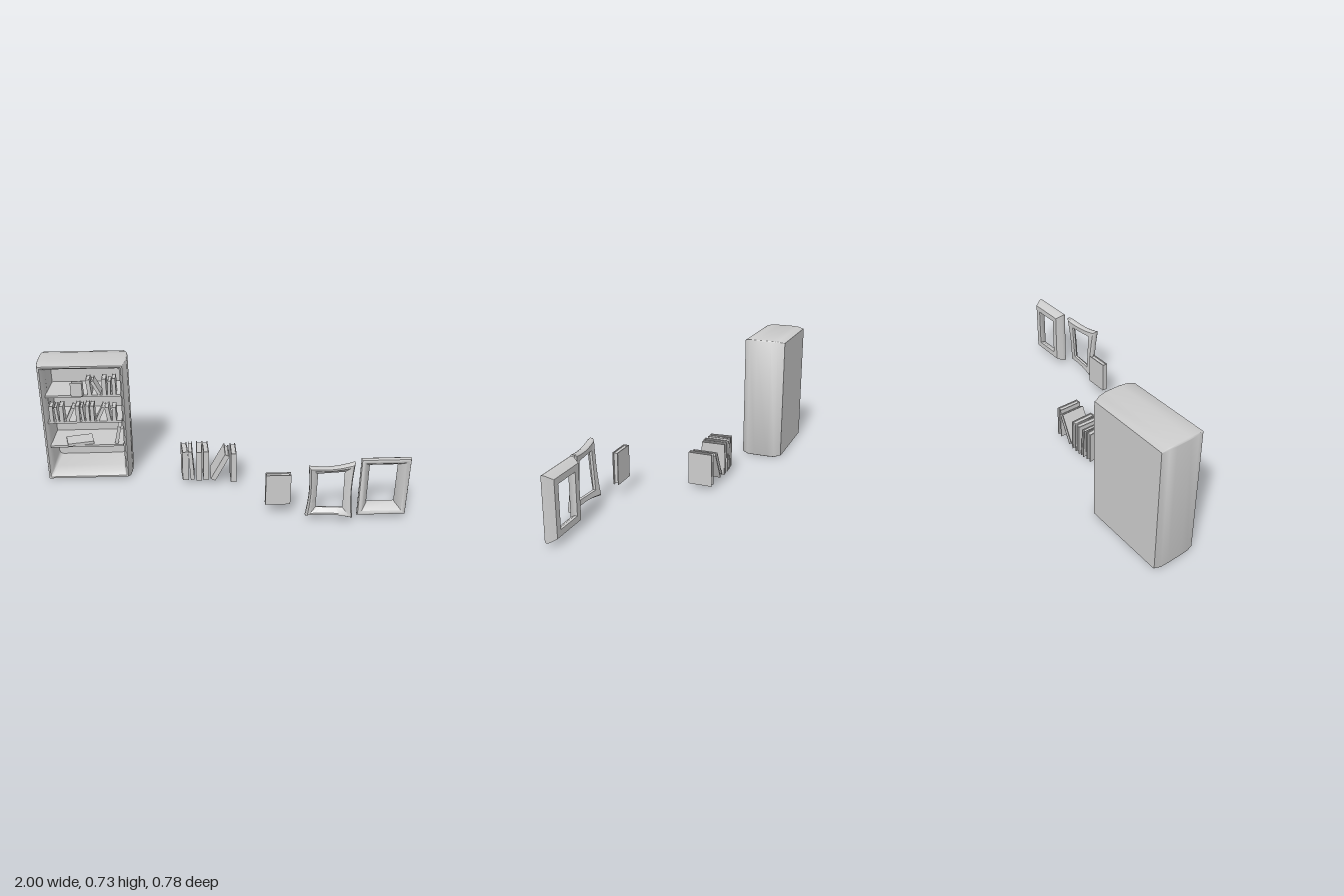
import * as THREE from 'three';
import { toCreasedNormals } from 'three/addons/utils/BufferGeometryUtils.js';

const material = new THREE.MeshStandardMaterial({ color: 0xcccccc });

function addMesh(parent, geometry, name) {
  const mesh = new THREE.Mesh(geometry, material);
  mesh.name = name;
  parent.add(mesh);
  return mesh;
}

function box(parent, name, w, h, d, x, y, z) {
  const mesh = addMesh(parent, new THREE.BoxGeometry(w, h, d), name);
  mesh.position.set(x, y, z);
  return mesh;
}

// Skin a list of equal-length closed rings (counter-clockwise seen from +z).
function loft(rings, closed, crease) {
  const n = rings[0].length;
  const index = [];
  const last = closed ? rings.length : rings.length - 1;
  for (let i = 0; i < last; i++) {
    const k = (i + 1) % rings.length;
    for (let j = 0; j < n; j++) {
      const m = (j + 1) % n;
      const a = i * n + j, b = i * n + m, c = k * n + m, d = k * n + j;
      index.push(a, b, c, a, c, d);
    }
  }
  const geometry = new THREE.BufferGeometry();
  geometry.setAttribute('position', new THREE.Float32BufferAttribute(rings.flat(2), 3));
  geometry.setIndex(index);
  return toCreasedNormals(geometry, crease);
}

function roundedRing([x0, x1, y0, y1, z, r]) {
  const corners = [[x1 - r, y0 + r, -90], [x1 - r, y1 - r, 0], [x0 + r, y1 - r, 90], [x0 + r, y0 + r, 180]];
  const ring = [];
  for (const [cx, cy, start] of corners) {
    for (let i = 0; i <= 4; i++) {
      const a = THREE.MathUtils.degToRad(start + i * 22.5);
      ring.push([cx + r * Math.cos(a), cy + r * Math.sin(a), z]);
    }
  }
  return ring;
}

// Picture frame: profile points are [inset from the outer edge, z].
function frame(parent, name, cx, cy, w, h, profile, pinch, twist) {
  const steps = pinch ? 8 : 1;
  const rings = profile.map(([inset, z]) => {
    const hw = w / 2 - inset, hh = h / 2 - inset;
    const corners = [[hw, -hh], [hw, hh], [-hw, hh], [-hw, -hh]];
    const ring = [];
    corners.forEach(([x, y], i) => {
      const [nx, ny] = corners[(i + 1) % 4];
      for (let s = 0; s < steps; s++) {
        const t = s / steps;
        // Bars narrow towards their middles, mostly on the outer edge.
        const k = 1 - pinch * Math.sin(Math.PI * t) * Math.max(0, 1 - inset / 0.05);
        let px = x + (nx - x) * t, py = y + (ny - y) * t;
        if (i % 2) py *= k; else px *= k;
        ring.push([cx + px, cy + py, z - twist * (px / w) * (py / h) * 4]);
      }
    });
    return ring;
  });
  addMesh(parent, loft(rings, true, 0.75), name);
}

// Book with its spine towards +z, standing on height y.
function book(parent, x, y, z, w, h, d, lean = 0, yaw = 0) {
  const group = new THREE.Group();
  group.name = 'book';
  const t = w * 0.16;
  for (const s of [-1, 1]) box(group, 'cover', t, h, d, s * (w - t) / 2, 0, 0);
  box(group, 'spine', w - 2 * t, h, t, 0, 0, (d - t) / 2);
  box(group, 'pages', w - 2 * t, h * 0.94, d * 0.93 - t, 0, 0, d * 0.035 - t / 2);
  const halfHeight = (h * Math.abs(Math.cos(lean)) + w * Math.abs(Math.sin(lean))) / 2;
  group.position.set(x, y + halfHeight, z);
  group.rotation.set(0, yaw, lean, 'YXZ');
  parent.add(group);
  return group;
}

function bookcase() {
  const group = new THREE.Group();
  group.name = 'bookcase';

  // Hollow cabinet with bulging walls: back, outside, front lip, inside.
  const sections = [
    [-0.76, -0.76, 0.37, 0.37, -0.39, 0],
    [-0.99, -0.525, 0.015, 0.72, -0.39, 0.003],
    [-0.99, -0.525, 0.015, 0.72, -0.383, 0.003],
    [-0.997, -0.511, 0.005, 0.729, -0.352, 0.008],
    [-1.0, -0.503, 0.006, 0.732, -0.31, 0.01],
    [-1.0, -0.503, 0.006, 0.732, -0.23, 0.01],
    [-0.997, -0.511, 0.005, 0.731, -0.182, 0.008],
    [-0.99, -0.525, 0.015, 0.722, -0.15, 0.003],
    [-0.98, -0.533, 0.025, 0.712, -0.15, 0.005],
    [-0.968, -0.543, 0.045, 0.698, -0.175, 0.012],
    [-0.962, -0.548, 0.055, 0.692, -0.23, 0.02],
    [-0.955, -0.555, 0.06, 0.688, -0.37, 0.025],
    [-0.76, -0.76, 0.37, 0.37, -0.37, 0],
  ];
  addMesh(group, loft(sections.map(roundedRing), false, 0.7), 'cabinet');

  for (const y of [0.215, 0.37, 0.533]) box(group, 'shelf', 0.42, 0.012, 0.2, -0.755, y, -0.272);

  // Top shelf: one book facing out, then an uneven row.
  const top = 0.539;
  const facing = book(group, -0.785, top, -0.172, 0.03, 0.08, 0.066, 0, Math.PI / 2 - 0.15);
  facing.name = 'facingBook';
  const topRow = [
    [-0.719, 0.022, 0.095, 0.08], [-0.68, 0.018, 0.09, 0.45],
    [-0.633, 0.024, 0.098, 0], [-0.605, 0.018, 0.085, -0.06], [-0.578, 0.02, 0.1, 0],
  ];
  for (const [x, w, h, lean] of topRow) book(group, x, top, -0.205, w, h, 0.075, lean);

  // Middle shelf: a full row with a few leaning books.
  const middleRow = [
    [-0.942, 0.022, 0.098, 0], [-0.913, 0.016, 0.092, 0.08], [-0.885, 0.024, 0.098, 0],
    [-0.836, 0.019, 0.09, -0.45], [-0.793, 0.022, 0.098, 0], [-0.767, 0.016, 0.092, 0.08],
    [-0.738, 0.022, 0.098, 0], [-0.711, 0.022, 0.097, 0], [-0.665, 0.019, 0.09, -0.45],
    [-0.622, 0.022, 0.085, 0.15], [-0.587, 0.022, 0.085, 0],
  ];
  for (const [x, w, h, lean] of middleRow) book(group, x, 0.376, -0.205, w, h, 0.075, lean);

  // Lower shelf: a flat book and one leaning on the wall.
  const flat = book(group, -0.8, 0.221, -0.22, 0.017, 0.15, 0.1, Math.PI / 2, 0.22);
  flat.name = 'flatBook';
  book(group, -0.574, 0.221, -0.22, 0.02, 0.11, 0.08, -0.2);
  return group;
}

export function createModel() {
  const model = new THREE.Group();
  model.name = 'bookcaseSet';
  model.add(bookcase());

  // Loose row of books.
  const row = new THREE.Group();
  row.name = 'looseBooks';
  const loose = [
    [-0.192, 0.038, -0.118, 0.034, 0.185, 0.125, 0, 0.08],
    [-0.153, 0.038, -0.12, 0.022, 0.185, 0.13, 0.07, 0],
    [-0.107, 0.038, -0.118, 0.034, 0.185, 0.138, 0, -0.03],
    [-0.07, 0.038, -0.12, 0.032, 0.185, 0.135, 0, 0.04],
    [0.012, 0.038, -0.11, 0.03, 0.178, 0.14, -0.48, 0],
    [0.09, 0.03, -0.103, 0.032, 0.185, 0.135, 0, 0],
  ];
  for (const b of loose) book(row, ...b);
  model.add(row);

  // Single book facing the front.
  const single = book(model, 0.308, 0.08, 0.276, 0.032, 0.182, 0.135, 0, -Math.PI / 2);
  single.name = 'singleBook';

  // Warped frame and straight frame.
  frame(model, 'warpedFrame', 0.575, 0.2, 0.25, 0.32, [
    [0.012, 0.336], [0.001, 0.345], [0, 0.362], [0.01, 0.374],
    [0.024, 0.374], [0.054, 0.35], [0.05, 0.338],
  ], 0.1, 0.017);
  frame(model, 'straightFrame', 0.867, 0.197, 0.266, 0.345, [
    [0.022, 0.275], [0.003, 0.31], [0, 0.324], [0.004, 0.334], [0.014, 0.338],
    [0.026, 0.332], [0.056, 0.29], [0.056, 0.275],
  ], 0, 0);

  return model;
}
